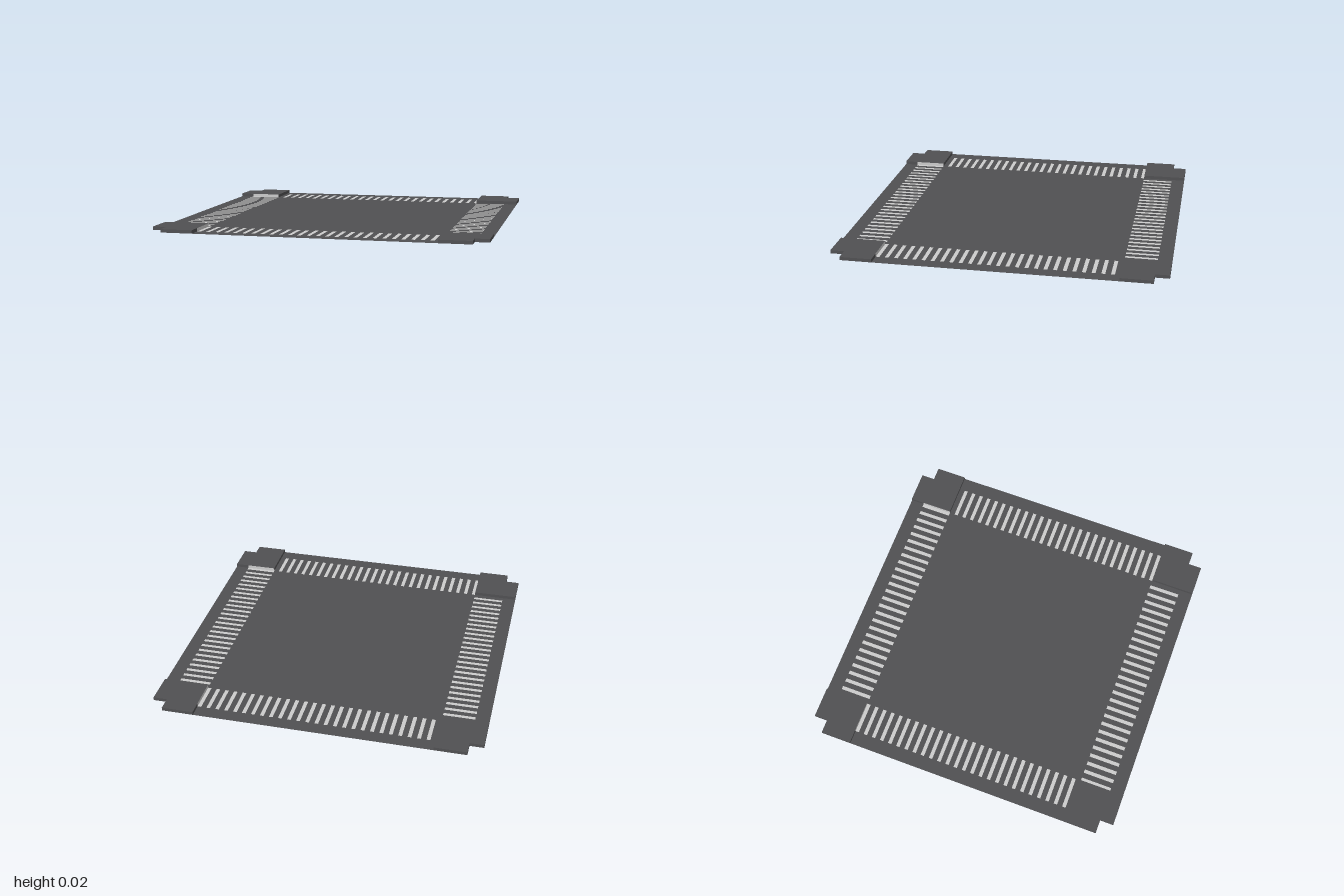
import * as THREE from 'three';

const INNER = 0.722, MID = 0.915, OUTER = 1, RISE = 0.02;
const COUNT = 26, LEAD_WIDTH = 0.0225;

const dark = new THREE.MeshStandardMaterial({ color: 0x505052, side: THREE.DoubleSide });
const light = new THREE.MeshStandardMaterial({ color: 0xcccccc, side: THREE.DoubleSide });

// Flat horizontal sheet between two x and two z values
function sheet(parent, name, material, x0, x1, z0, z1) {
  const geometry = new THREE.PlaneGeometry(x1 - x0, z1 - z0).rotateX(-Math.PI / 2);
  const mesh = new THREE.Mesh(geometry, material);
  mesh.position.set((x0 + x1) / 2, 0, (z0 + z1) / 2);
  mesh.name = name;
  parent.add(mesh);
}

// Upright wall of the step height from one [x, z] point to another
function wall(parent, name, material, [x0, z0], [x1, z1]) {
  const mesh = new THREE.Mesh(new THREE.PlaneGeometry(Math.hypot(x1 - x0, z1 - z0), RISE), material);
  mesh.position.set((x0 + x1) / 2, RISE / 2, (z0 + z1) / 2);
  mesh.rotation.y = -Math.atan2(z1 - z0, x1 - x0);
  mesh.name = name;
  parent.add(mesh);
}

// Edge strip with alternating leads and gaps
function makeSide() {
  const side = new THREE.Group();
  side.name = 'edgeStrip';
  const pitch = 2 * INNER / COUNT;
  for (let i = 0; i < COUNT; i++) {
    const x = -INNER + i * pitch;
    sheet(side, 'lead', light, x, x + LEAD_WIDTH, INNER, MID);
    sheet(side, 'leadGap', dark, x + LEAD_WIDTH, x + pitch, INNER, MID);
  }
  sheet(side, 'outerMargin', dark, -INNER, INNER, MID, OUTER);
  return side;
}

// Raised notched corner, open underneath
function makeCorner() {
  const corner = new THREE.Group();
  corner.name = 'raisedCorner';
  const points = [
    [-INNER, INNER], [-INNER, MID], [-INNER, OUTER], [-MID, OUTER],
    [-MID, MID], [-OUTER, MID], [-OUTER, INNER],
  ];
  const shape = new THREE.Shape(points.map(([x, z]) => new THREE.Vector2(x, -z)));
  const cap = new THREE.Mesh(new THREE.ShapeGeometry(shape).rotateX(-Math.PI / 2), dark);
  cap.position.y = RISE;
  cap.name = 'cornerCap';
  corner.add(cap);
  // The first wall meets the end lead and shares its colour
  points.forEach((p, i) =>
    wall(corner, 'cornerWall', i === 0 ? light : dark, p, points[(i + 1) % points.length]));
  return corner;
}

export function createModel() {
  const model = new THREE.Group();
  model.name = 'flatPackage';
  sheet(model, 'centrePlate', dark, -INNER, INNER, -INNER, INNER);
  for (let i = 0; i < 4; i++) {
    const quarter = new THREE.Group();
    quarter.name = 'quarter';
    quarter.add(makeSide(), makeCorner());
    quarter.rotation.y = i * Math.PI / 2;
    model.add(quarter);
  }
  return model;
}
